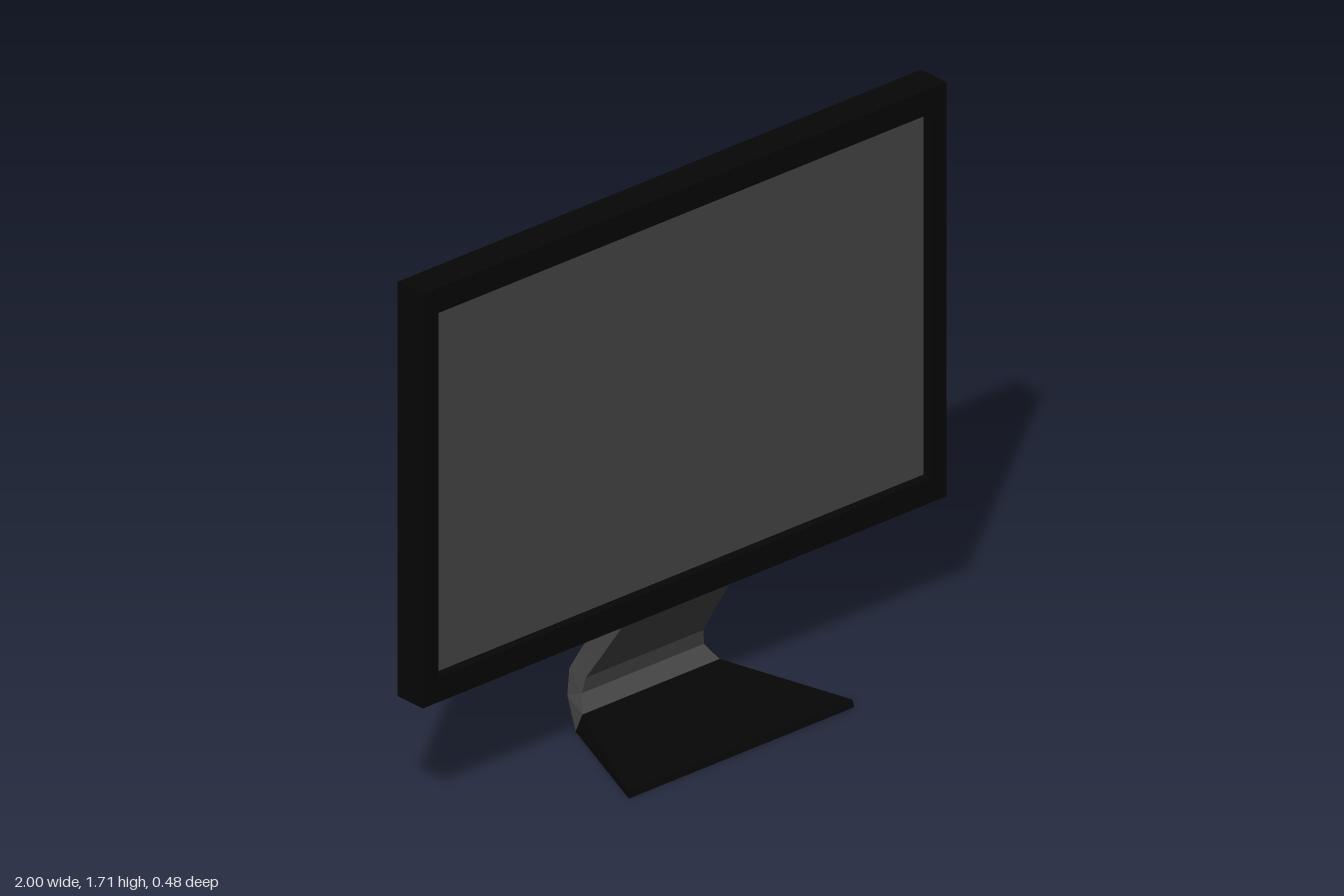
import * as THREE from 'three';

const black = new THREE.MeshStandardMaterial({ color: 0x060606 });
const grey = new THREE.MeshStandardMaterial({ color: 0x454545 });
black.flatShading = grey.flatShading = true;

// Closed loft; each section is [halfWidth, frontZ, frontY, backZ, backY]
function loft(sections) {
  const rings = sections.map(([w, fz, fy, bz, by]) => [
    [-w, fy, fz], [w, fy, fz], [w, by, bz], [-w, by, bz],
  ]);
  const points = [];
  const quad = (a, b, c, d) => points.push(...a, ...b, ...c, ...a, ...c, ...d);
  for (let i = 0; i < rings.length - 1; i++) {
    for (let k = 0; k < 4; k++) {
      const n = (k + 1) % 4;
      quad(rings[i][k], rings[i + 1][k], rings[i + 1][n], rings[i][n]);
    }
  }
  quad(...rings[0]);
  quad(...[...rings[rings.length - 1]].reverse());
  const geometry = new THREE.BufferGeometry();
  geometry.setAttribute('position', new THREE.Float32BufferAttribute(points, 3));
  geometry.computeVertexNormals();
  return geometry;
}

function rectangle(path, x, y0, y1) {
  path.moveTo(-x, y0).lineTo(x, y0).lineTo(x, y1).lineTo(-x, y1).closePath();
  return path;
}

export function createModel() {
  const model = new THREE.Group();
  const add = (name, geometry, material, z = 0) => {
    const mesh = new THREE.Mesh(geometry, material);
    mesh.name = name;
    mesh.position.z = z;
    model.add(mesh);
  };

  const depth = 0.107;
  const recess = 0.03;

  // Raised bezel surrounding the screen
  const bezel = rectangle(new THREE.Shape(), 1, 0.388, 1.71);
  bezel.holes.push(rectangle(new THREE.Path(), 0.94, 0.467, 1.63));
  add('bezel', new THREE.ExtrudeGeometry(bezel, { depth, bevelEnabled: false }), black, -depth);

  // Back cover closing the casing from behind
  const back = new THREE.PlaneGeometry(1.88, 1.163).rotateY(Math.PI).translate(0, 1.0485, 0);
  add('backCover', back, black, -depth);

  // Screen set back inside the bezel
  add('screen', new THREE.ShapeGeometry(rectangle(new THREE.Shape(), 0.94, 0.467, 1.63)), grey, -recess);

  // Bent neck, flaring down to the base
  const foot = [0.262, -0.143, 0.065, -0.172, 0];
  add('neck', loft([
    [0.205, -0.02, 0.389, -0.101, 0.389],
    [0.214, -0.115, 0.245, -0.2, 0.24],
    [0.225, -0.17, 0.16, -0.24, 0.165],
    [0.233, -0.178, 0.11, -0.24, 0.08],
    foot,
  ]), grey);

  // Wedge base widening towards the front
  add('base', loft([foot, [0.43, 0.236, 0.022, 0.243, 0]]), black);

  return model;
}
